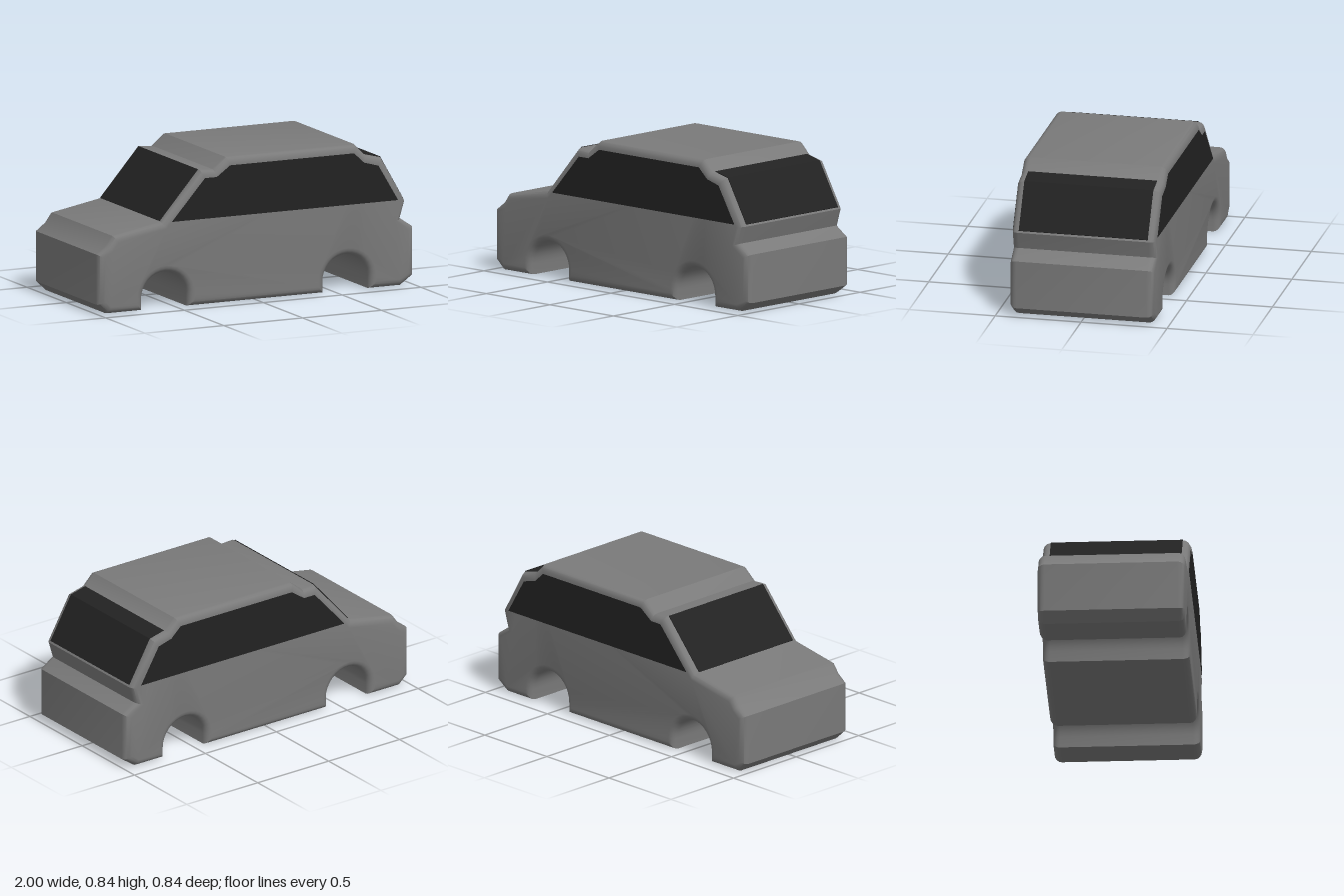
import * as THREE from 'three';
import { toCreasedNormals } from 'three/addons/utils/BufferGeometryUtils.js';

const HALF = 0.418; // half width of the body
const BEVEL = 0.04;
const ARCH = 0.145; // wheel arch radius
const ARCH_Y = 0.065;

const paint = new THREE.MeshStandardMaterial({ color: 0x7a7a7a });
const glass = new THREE.MeshStandardMaterial({ color: 0x222222, side: THREE.DoubleSide });

const toShape = (pts) => new THREE.Shape(pts.map(([x, y]) => new THREE.Vector2(x, y)));

function addMesh(group, name, geometry, material) {
  const mesh = new THREE.Mesh(geometry, material);
  mesh.name = name;
  group.add(mesh);
  return mesh;
}

// Outline of one wheel arch, running from its -x foot to its +x foot
function archPoints(cx, steps = 16) {
  const pts = [[cx - ARCH, 0]];
  for (let i = 0; i <= steps; i++) {
    const a = Math.PI * (1 - i / steps);
    pts.push([cx + ARCH * Math.cos(a), ARCH_Y + ARCH * Math.sin(a)]);
  }
  pts.push([cx + ARCH, 0]);
  return pts;
}

// Thin pane that follows a side-view line across the width of the car
function paneGeometry(line, dx, dy, width) {
  const outer = line.map(([x, y]) => [x + dx, y + dy]).reverse();
  const g = new THREE.ExtrudeGeometry(toShape([...line, ...outer]), { depth: width, bevelEnabled: false });
  return g.translate(0, 0, -width / 2);
}

export function createModel() {
  const car = new THREE.Group();
  car.name = 'car';

  // Body shell: side profile with wheel arches, rounded along both flanks
  const profile = [
    [-0.94, 0],
    ...archPoints(-0.575),
    ...archPoints(0.575),
    [0.92, 0], [1, 0.055], [1, 0.335], [0.92, 0.39], [0.95, 0.49],
    [0.80, 0.75], [0.70, 0.775], [0.635, 0.84],
    [-0.185, 0.84], [-0.265, 0.775], [-0.35, 0.78],
    [-0.595, 0.50], [-0.90, 0.445], [-0.94, 0.39], [-1, 0.345], [-1, 0.055],
  ];
  const depth = 2 * (HALF - BEVEL);
  const body = new THREE.ExtrudeGeometry(toShape(profile), {
    depth, bevelThickness: BEVEL, bevelSize: BEVEL, bevelOffset: -BEVEL, bevelSegments: 4,
  });
  body.translate(0, 0, -depth / 2);
  addMesh(car, 'body', toCreasedNormals(body, 0.6), paint);

  // Side windows, one on each flank
  const sideWindow = new THREE.ShapeGeometry(toShape([
    [-0.54, 0.50], [0.895, 0.50], [0.77, 0.71], [0.68, 0.735], [0.615, 0.795],
    [-0.17, 0.795], [-0.255, 0.735], [-0.33, 0.735],
  ]));
  for (const side of [1, -1]) {
    const pane = addMesh(car, side > 0 ? 'sideWindowA' : 'sideWindowB', sideWindow, glass);
    pane.position.z = side * (HALF + 0.002);
  }

  // Windscreen and the folded tailgate window
  addMesh(car, 'windscreen',
    paneGeometry([[-0.595, 0.502], [-0.352, 0.779]], -0.003, 0.003, 0.75), glass);
  addMesh(car, 'rearWindow',
    paneGeometry([[0.944, 0.50], [0.80, 0.75], [0.70, 0.775]], 0.003, 0.003, 0.75), glass);

  return car;
}
